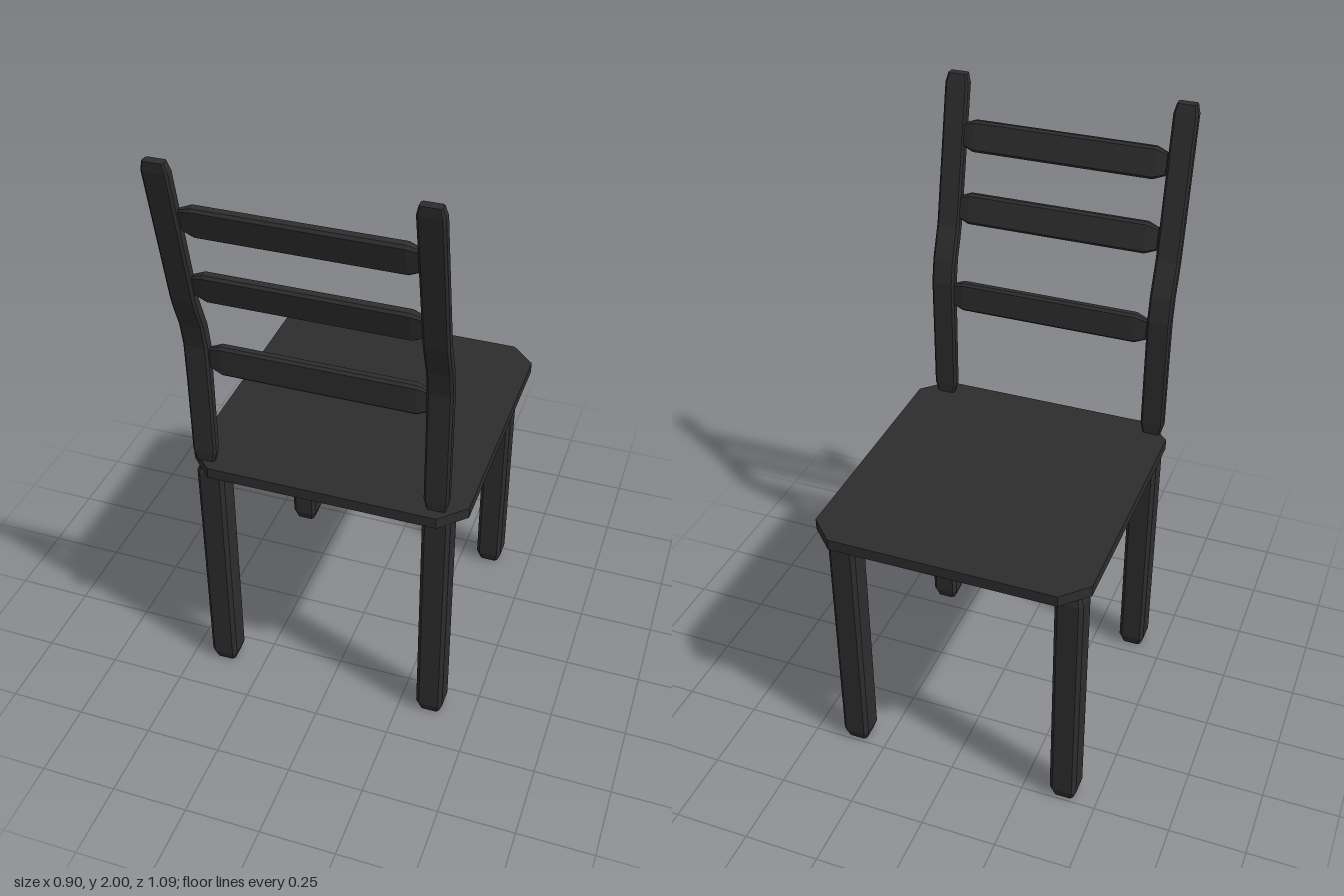
import * as THREE from 'three';

// Solid lofted upward through bevelled rectangles: [y, z, width, depth, bevel]
function loft(sections) {
  const pos = [];
  const rings = sections.map(([y, z, w, d, b]) => {
    const x = w / 2, h = d / 2;
    return [[x, h - b], [x - b, h], [b - x, h], [-x, h - b], [-x, b - h], [b - x, -h], [x - b, -h], [x, b - h]]
      .map(([px, pz]) => [px, y, z + pz]);
  });
  const tri = (a, b, c) => pos.push(...a, ...b, ...c);
  for (let r = 0; r < rings.length - 1; r++) {
    const lo = rings[r], hi = rings[r + 1];
    for (let i = 0; i < 8; i++) {
      const j = (i + 1) % 8;
      tri(lo[i], hi[i], hi[j]);
      tri(lo[i], hi[j], lo[j]);
    }
  }
  const top = rings[rings.length - 1], bottom = rings[0];
  for (let i = 1; i < 7; i++) {
    tri(top[0], top[i + 1], top[i]);
    tri(bottom[0], bottom[i], bottom[i + 1]);
  }
  const geo = new THREE.BufferGeometry();
  geo.setAttribute('position', new THREE.Float32BufferAttribute(pos, 3));
  geo.computeVertexNormals();
  return geo;
}

export function createModel() {
  const chair = new THREE.Group();
  chair.name = 'chair';
  const blackWood = new THREE.MeshStandardMaterial({ color: 0x2d2d2d, flatShading: true });
  blackWood.name = 'blackWood';

  const add = (name, geo, x = 0, y = 0, z = 0) => {
    const mesh = new THREE.Mesh(geo, blackWood);
    mesh.name = name;
    mesh.position.set(x, y, z);
    chair.add(mesh);
    return mesh;
  };

  // Seat board with clipped corners
  add('seat', loft([[0.863, -0.062, 0.9, 0.965, 0.08], [0.9, -0.062, 0.9, 0.965, 0.08]]));

  // Four square legs, tapered at both ends
  const leg = loft([
    [0, 0, 0.066, 0.066, 0.008],
    [0.035, 0, 0.09, 0.09, 0.012],
    [0.835, 0, 0.09, 0.09, 0.012],
    [0.87, 0, 0.066, 0.066, 0.008],
  ]);
  for (const [side, x] of [['Right', -0.388], ['Left', 0.355]]) {
    add('front' + side + 'Leg', leg, x, 0, -0.455);
    add('back' + side + 'Leg', leg, x, 0, 0.33);
  }

  // Bent back posts
  const post = loft([
    [0.895, 0.371, 0.056, 0.028, 0.005],
    [0.935, 0.371, 0.078, 0.034, 0.007],
    [1.2, 0.371, 0.078, 0.036, 0.007],
    [1.33, 0.372, 0.078, 0.04, 0.007],
    [1.41, 0.387, 0.078, 0.04, 0.007],
    [1.47, 0.41, 0.078, 0.04, 0.007],
    [1.52, 0.428, 0.078, 0.037, 0.007],
    [1.97, 0.524, 0.078, 0.037, 0.007],
    [2, 0.53, 0.062, 0.03, 0.005],
  ]);
  add('rightPost', post, -0.392);
  add('leftPost', post, 0.357);

  // Three back slats, leaning with the posts
  const slat = loft([
    [-0.338, 0, 0.072, 0.02, 0.005],
    [-0.3, 0, 0.102, 0.034, 0.008],
    [0.3, 0, 0.102, 0.034, 0.008],
    [0.338, 0, 0.072, 0.02, 0.005],
  ]).rotateZ(Math.PI / 2);
  [['lowerSlat', 1.29, 0.371, 0.02], ['middleSlat', 1.58, 0.439, 0.21], ['upperSlat', 1.813, 0.487, 0.21]]
    .forEach(([name, y, z, lean]) => {
      add(name, slat, -0.013, y, z).rotation.x = lean;
    });

  return chair;
}
